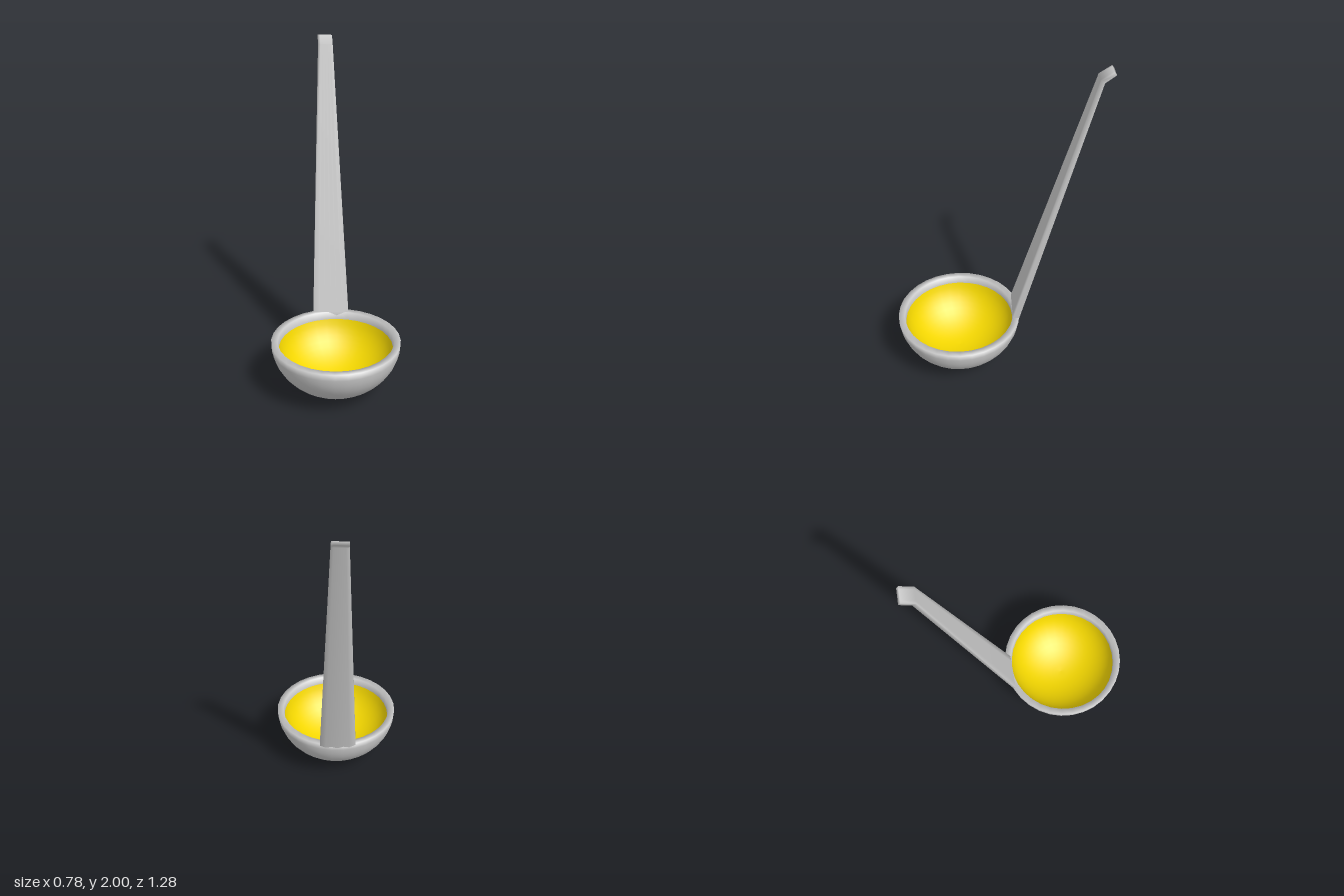
import * as THREE from 'three';

const CENTER_Z = 0.25, RIM_Y = 0.33, R_OUT = 0.39, R_IN = 0.35, DEPTH_IN = 0.29;
const LINING_ANGLE = 1.4; // where the coloured lining ends below the rim

function lathe(name, points, material) {
  const mesh = new THREE.Mesh(
    new THREE.LatheGeometry(points.map(([r, y]) => new THREE.Vector2(r, y)), 32), material);
  mesh.name = name;
  mesh.position.z = CENTER_Z;
  return mesh;
}

// Lower half-ellipse hanging from the rim, from one angle to another (0 = bottom centre)
function bowlArc(radius, depth, from, to, steps) {
  return Array.from({ length: steps + 1 }, (_, i) => {
    const a = THREE.MathUtils.lerp(from, to, i / steps);
    return [radius * Math.sin(a), RIM_Y - depth * Math.cos(a)];
  });
}

// Lofts a thin strip through sections; each gives its x range and its front and back edge
function loftHandle(sections, n) {
  const pos = [], index = [], ring = 2 * (n + 1);
  for (const { x, back, front } of sections) {
    for (let i = 0; i <= n; i++) {
      const px = THREE.MathUtils.lerp(x[1], x[0], i / n);
      pos.push(px, ...back(px));
    }
    for (let i = 0; i <= n; i++) {
      const px = THREE.MathUtils.lerp(x[0], x[1], i / n);
      pos.push(px, ...front(px));
    }
  }
  for (let s = 0; s < sections.length - 1; s++) {
    for (let j = 0; j < ring; j++) {
      const a = s * ring + j, b = s * ring + (j + 1) % ring;
      index.push(a, b, b + ring, a, b + ring, a + ring);
    }
  }
  // End cap at the tip
  const t = (sections.length - 1) * ring;
  for (let i = 0; i < n; i++) {
    const a = t + i, b = t + i + 1, c = t + ring - 2 - i, d = t + ring - 1 - i;
    index.push(a, b, c, a, c, d);
  }
  const geo = new THREE.BufferGeometry();
  geo.setAttribute('position', new THREE.Float32BufferAttribute(pos, 3));
  geo.setIndex(index);
  geo.computeVertexNormals();
  return geo;
}

export function createModel() {
  const group = new THREE.Group();
  group.name = 'ladle';
  const grey = new THREE.MeshStandardMaterial({ color: 0xcccccc });
  const yellow = new THREE.MeshStandardMaterial({ color: 0xf5d800 });

  // Bowl: outer shell, over the rim and down to the lining
  group.add(lathe('bowl', [
    ...bowlArc(R_OUT, RIM_Y, 0, Math.PI / 2, 12),
    ...bowlArc(R_IN, DEPTH_IN, Math.PI / 2, LINING_ANGLE, 1),
  ], grey));

  // Lining: hollow inside of the bowl
  group.add(lathe('lining', bowlArc(R_IN, DEPTH_IN, LINING_ANGLE, 0, 12), yellow));

  // Handle: follows the rim's curve at its base, tapers upwards and bends back at the tip
  const arc = (r, y) => x => [y, CENTER_Z - Math.sqrt(r * r - x * x)];
  const line = (y, z) => () => [y, z];
  const handle = new THREE.Mesh(loftHandle([
    { x: [-0.145, 0.07], back: arc(0.374, 0.25), front: line(0.28, -0.1) },
    { x: [-0.15, 0.074], back: arc(0.392, RIM_Y), front: line(RIM_Y, -0.095) },
    { x: [-0.122, -0.031], back: line(1.94, -0.576), front: line(1.955, -0.554) },
    { x: [-0.127, -0.037], back: line(1.983, -0.638), front: line(2.0, -0.625) },
  ], 6), grey);
  handle.name = 'handle';
  group.add(handle);

  return group;
}
